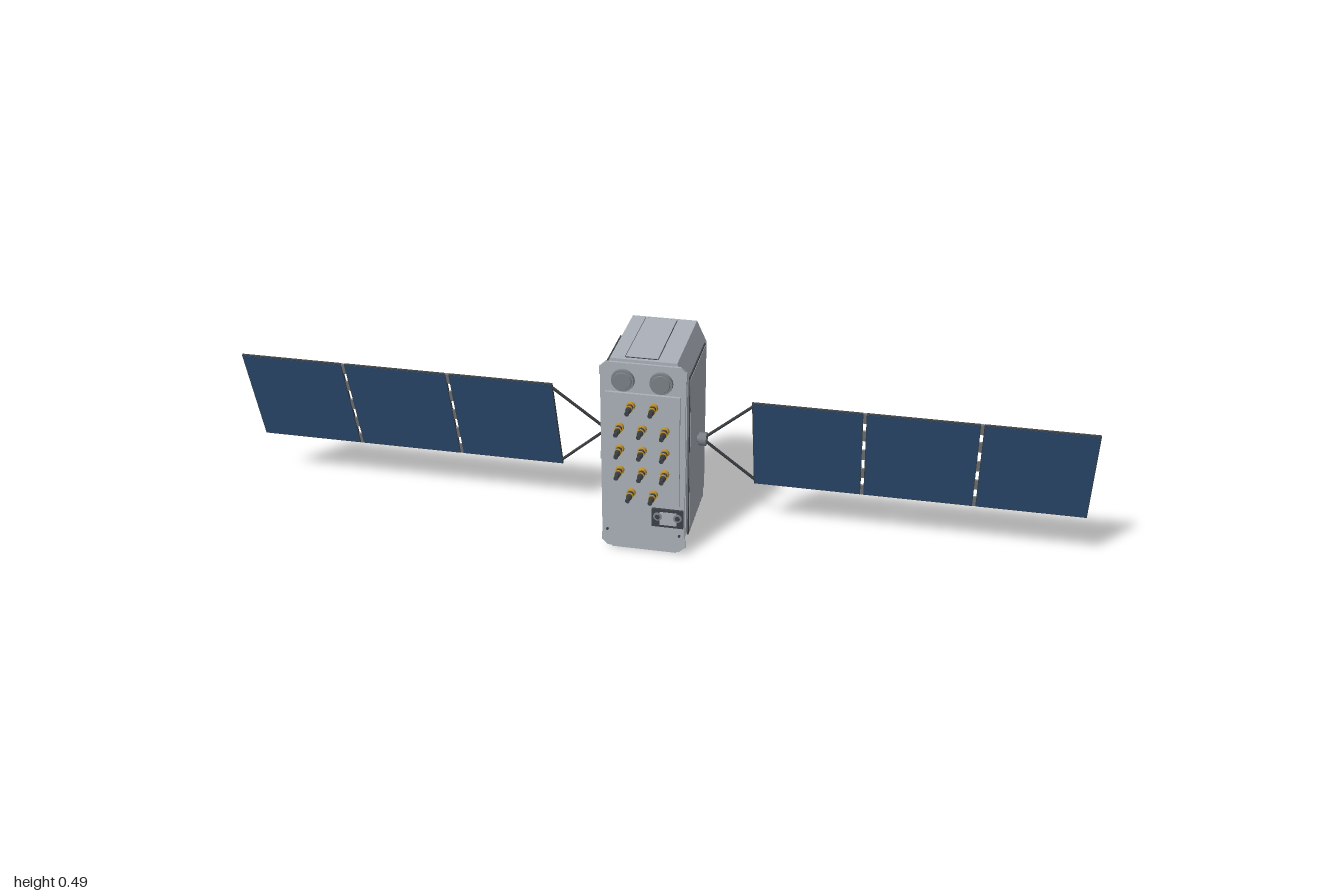
import * as THREE from 'three';

const mat = (name, color) => {
  const m = new THREE.MeshStandardMaterial({ color });
  m.name = name;
  return m;
};

export function createModel() {
  const root = new THREE.Group();
  root.name = 'satellite';
  const hull = mat('hull grey', 0xabb1ba);
  const back = mat('panel back grey', 0x848a8e);
  const blue = mat('solar cell blue', 0x2f5078);
  const dark = mat('dark metal', 0x3c4044);
  const steel = mat('steel grey', 0x7b8187);
  const gold = mat('gold', 0xc0922f);

  const add = (parent, name, geo, material, x = 0, y = 0, z = 0) => {
    const m = new THREE.Mesh(geo, material);
    m.name = name;
    m.position.set(x, y, z);
    parent.add(m);
    return m;
  };
  const box = (p, name, m, w, h, d, x, y, z) => add(p, name, new THREE.BoxGeometry(w, h, d), m, x, y, z);
  // cylinder along z, from z0 to z1
  const discZ = (p, name, m, r0, r1, z0, z1, x, y, n = 16) => add(p, name,
    new THREE.CylinderGeometry(r1, r0, z1 - z0, n).rotateX(Math.PI / 2), m, x, y, (z0 + z1) / 2);
  // box with chamfered corners, extruded along z
  const chamfered = (name, m, w, h, cx, cy, z0, z1, y = 0.25) => {
    const s = new THREE.Shape([[w - cx, -h], [w, cy - h], [w, h - cy], [w - cx, h],
      [cx - w, h], [-w, h - cy], [-w, cy - h], [cx - w, -h]].map(([a, b]) => new THREE.Vector2(a, b)));
    return add(root, name, new THREE.ExtrudeGeometry(s, { depth: z1 - z0, bevelEnabled: false }), m, 0, y, z0);
  };

  // Bus with cover plates
  chamfered('body', hull, 0.099, 0.244, 0.023, 0.05, -0.145, 0.091);
  chamfered('frontPlate', hull, 0.097, 0.237, 0.012, 0.012, 0.091, 0.097);
  box(root, 'connectorPlate', hull, 0.17, 0.28, 0.007, 0, 0.276, 0.1);
  for (const s of [-1, 1]) {
    box(root, 'endCoverSeam', dark, 0.076, 0.0015, 0.217, -0.006, 0.25 + s * 0.2443, -0.027);
    box(root, 'endCover', hull, 0.073, 0.002, 0.213, -0.006, 0.25 + s * 0.2449, -0.027);
    box(root, 'sidePanelSeam', dark, 0.003, 0.406, 0.188, s * 0.0995, 0.248, -0.027);
    box(root, 'sidePanel', hull, 0.004, 0.398, 0.18, s * 0.1, 0.248, -0.027);
    for (const y of [0.035, 0.25, 0.465]) box(root, 'edgeTab', hull, 0.008, 0.02, 0.006, s * 0.095, y, 0.094);
  }

  // Round sensors
  for (const x of [-0.045, 0.042]) {
    discZ(root, 'sensorRim', steel, 0.027, 0.026, 0.096, 0.104, x, 0.446, 20);
    discZ(root, 'sensorFace', steel, 0.021, 0.02, 0.104, 0.106, x, 0.446, 20);
  }

  // Helical antenna cluster
  const rows = [[0.387, [-0.026, 0.026]], [0.331, [-0.052, 0, 0.052]], [0.276, [-0.052, 0, 0.052]],
    [0.221, [-0.052, 0, 0.052]], [0.165, [-0.026, 0.026]]];
  for (const [y, xs] of rows) {
    for (const x of xs) {
      const g = new THREE.Group();
      g.name = 'antenna';
      g.position.set(x, y, 0);
      root.add(g);
      discZ(g, 'antennaBase', gold, 0.0105, 0.0095, 0.103, 0.112, 0, 0, 12);
      discZ(g, 'antennaStem', dark, 0.0075, 0.0065, 0.112, 0.133, 0, 0, 12);
      discZ(g, 'antennaRing', gold, 0.0085, 0.0085, 0.121, 0.125, 0, 0, 12);
      discZ(g, 'antennaTip', dark, 0.0045, 0.0055, 0.133, 0.147, 0, 0, 12);
    }
  }

  // Instrument box low on the front
  box(root, 'instrumentBase', dark, 0.074, 0.046, 0.007, 0.058, 0.103, 0.1);
  box(root, 'instrumentFace', hull, 0.04, 0.034, 0.001, 0.06, 0.103, 0.104);
  for (const x of [0.035, 0.082]) {
    discZ(root, 'instrumentLens', steel, 0.011, 0.01, 0.102, 0.106, x, 0.107, 12);
    discZ(root, 'instrumentPupil', dark, 0.006, 0.006, 0.105, 0.1065, x, 0.107, 12);
  }
  discZ(root, 'knob', dark, 0.003, 0.003, 0.096, 0.101, 0.085, 0.057, 8);
  discZ(root, 'knob', dark, 0.003, 0.003, 0.096, 0.101, -0.085, 0.057, 8);

  // Tilted solar wings
  const up = new THREE.Vector3(0, 1, 0);
  for (const s of [-1, 1]) {
    const wing = new THREE.Group();
    wing.name = s > 0 ? 'leftWing' : 'rightWing';
    wing.position.set(0, 0.25, -0.028);
    wing.rotation.x = 0.295;
    root.add(wing);

    add(wing, 'hubAxle', new THREE.CylinderGeometry(0.009, 0.009, 0.03, 8).rotateZ(Math.PI / 2), steel, s * 0.108);
    add(wing, 'hub', new THREE.CylinderGeometry(0.016, 0.016, 0.018, 8).rotateZ(Math.PI / 2), steel, s * 0.115);

    for (const t of [-1, 1]) {
      const a = new THREE.Vector3(s * 0.118, t * 0.004, 0);
      const d = new THREE.Vector3(s * 0.238, t * 0.122, 0).sub(a);
      const strut = add(wing, 'strut', new THREE.CylinderGeometry(0.0035, 0.0035, d.length(), 8), dark);
      strut.position.copy(a).addScaledVector(d, 0.5);
      strut.quaternion.setFromUnitVectors(up, d.normalize());
    }

    for (let i = 0; i < 3; i++) {
      const x = s * (0.3575 + i * 0.2575);
      box(wing, 'panelFrame', dark, 0.25, 0.26, 0.005, x, 0, 0);
      box(wing, 'panelBack', back, 0.246, 0.256, 0.001, x, 0, -0.0026);
      box(wing, 'solarCells', blue, 0.247, 0.257, 0.001, x, 0, 0.0026);
      if (i < 2) {
        for (const y of [-0.115, -0.06, 0, 0.06, 0.115]) {
          box(wing, 'hinge', steel, 0.01, 0.03, 0.004, x + s * 0.12875, y, 0);
        }
      }
    }
  }
  return root;
}
